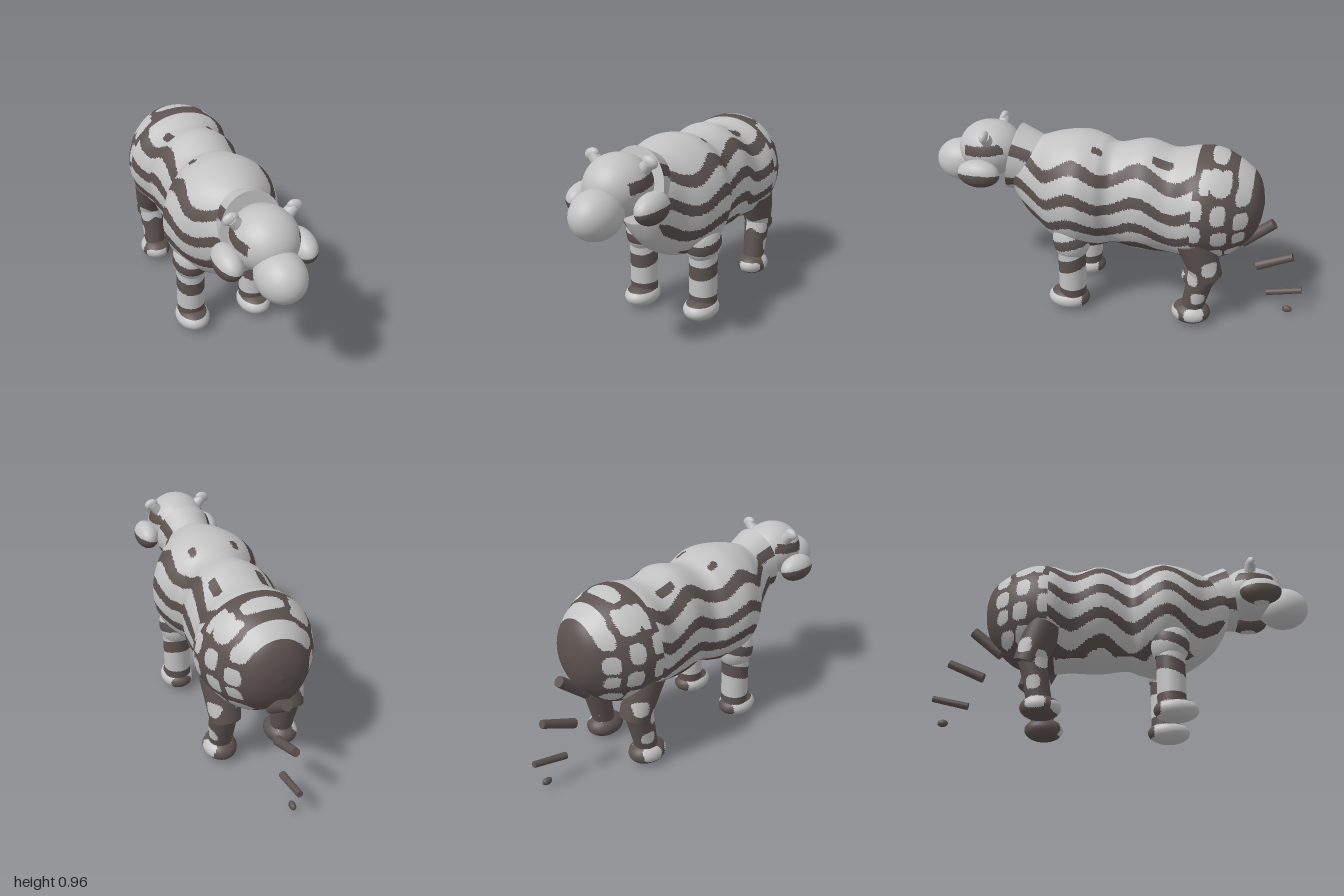
import * as THREE from 'three';

const pale = new THREE.MeshStandardMaterial({ color: 0xc2c2c2 });
pale.name = 'paleGrey';
const brown = new THREE.MeshStandardMaterial({ color: 0x5c524f });
brown.name = 'darkBrown';

// Splits the faces of a geometry into pale and dark groups by their centres
function painted(name, geo, isDark) {
  const p = geo.attributes.position, idx = geo.index.array, sets = [[], []];
  for (let i = 0; i < idx.length; i += 3) {
    const f = [idx[i], idx[i + 1], idx[i + 2]];
    const mean = (get) => f.reduce((s, v) => s + p[get](v), 0) / 3;
    sets[isDark(Math.abs(mean('getX')), mean('getY'), mean('getZ')) ? 1 : 0].push(...f);
  }
  geo.setIndex([...sets[0], ...sets[1]]);
  geo.clearGroups();
  geo.addGroup(0, sets[0].length, 0);
  geo.addGroup(sets[0].length, sets[1].length, 1);
  const mesh = new THREE.Mesh(geo, [pale, brown]);
  mesh.name = name;
  return mesh;
}

// Ellipsoid with baked position
function blob(c, r, n = 40, tilt = 0) {
  return new THREE.SphereGeometry(1, n, Math.round(n * 0.75))
    .scale(...r).rotateZ(tilt).translate(...c);
}

// Tapered rod between two points
function rod(a, b, ra, rb, n = 40, rows = 30) {
  const va = new THREE.Vector3(...a), vb = new THREE.Vector3(...b), d = vb.clone().sub(va);
  const g = new THREE.CylinderGeometry(rb, ra, d.length(), n, rows);
  g.applyQuaternion(new THREE.Quaternion().setFromUnitVectors(new THREE.Vector3(0, 1, 0), d.normalize()));
  return g.translate(...va.add(vb).multiplyScalar(0.5).toArray());
}

// Body sections: z, half width, top, bottom
const SECTIONS = [
  [-0.755, 0, 0.65, 0.65], [-0.74, 0.09, 0.74, 0.55], [-0.7, 0.155, 0.815, 0.465],
  [-0.6, 0.235, 0.885, 0.37], [-0.5, 0.28, 0.92, 0.343], [-0.4, 0.29, 0.915, 0.337],
  [-0.29, 0.245, 0.9, 0.34], [-0.15, 0.25, 0.935, 0.336], [0, 0.215, 0.905, 0.352],
  [0.08, 0.265, 0.93, 0.335], [0.18, 0.3, 0.95, 0.32], [0.3, 0.262, 0.938, 0.345],
  [0.4, 0.19, 0.91, 0.405], [0.48, 0.155, 0.88, 0.485], [0.54, 0.12, 0.84, 0.6], [0.56, 0, 0.72, 0.72],
];

function bodyGeometry() {
  const curve = (fn) => new THREE.CatmullRomCurve3(SECTIONS.map(fn), false, 'catmullrom', 0.5);
  const mids = curve(([z, w, t, b]) => new THREE.Vector3(w, (t + b) / 2, z));
  const heights = curve(([z, , t, b]) => new THREE.Vector3((t - b) / 2, 0, z));
  const rows = 180, sides = 160, pos = [], idx = [];
  for (let i = 0; i <= rows; i++) {
    const m = mids.getPoint(i / rows), h = Math.max(0, heights.getPoint(i / rows).x);
    for (let j = 0; j < sides; j++) {
      const a = (j / sides) * Math.PI * 2;
      pos.push(Math.max(0, m.x) * Math.cos(a), m.y + h * Math.sin(a), m.z);
      if (i === rows) continue;
      const k = i * sides + j, l = i * sides + ((j + 1) % sides);
      idx.push(k, l, l + sides, k, l + sides, k + sides);
    }
  }
  const g = new THREE.BufferGeometry();
  g.setAttribute('position', new THREE.Float32BufferAttribute(pos, 3));
  g.setIndex(idx);
  g.computeVertexNormals();
  return g;
}

// Rounded square patch test
const inPatch = (u, v, [cu, cv, ru, rv]) => Math.abs((u - cu) / ru) ** 3 + Math.abs((v - cv) / rv) ** 3 < 1;

// Pale patches on the flank of the rump (z, y, sizes) and on its top (x, z, sizes)
const FLANK = [
  [-0.435, 0.71, 0.035, 0.05], [-0.435, 0.585, 0.035, 0.05], [-0.445, 0.465, 0.035, 0.045],
  [-0.555, 0.82, 0.04, 0.05], [-0.545, 0.685, 0.035, 0.05], [-0.555, 0.555, 0.038, 0.045],
  [-0.54, 0.445, 0.035, 0.04], [-0.655, 0.765, 0.035, 0.05], [-0.65, 0.64, 0.035, 0.045],
  [-0.645, 0.545, 0.03, 0.035], [-0.62, 0.44, 0.035, 0.035], [-0.47, 0.83, 0.025, 0.05],
];
const TOP = [[0, -0.525, 0.105, 0.04], [0.185, -0.53, 0.05, 0.045], [0, -0.655, 0.17, 0.04], [0.2, -0.39, 0.06, 0.03]];

// Wavy stripes along the flank
function stripe(y, z) {
  const wave = 0.034 * Math.cos(((z - 0.19) / 0.33) * Math.PI * 2);
  return [0.81, 0.667, 0.53, 0.395].some((c) => Math.abs(y - c - wave) < 0.029);
}

function bodyDark(x, y, z) {
  if (z < -0.42 + (y < 0.42 ? 0.04 : 0)) {
    if (y > 0.78 && TOP.some((p) => inPatch(x, z, p))) return false;
    return !(x > 0.08 && FLANK.some((p) => inPatch(z, y, p)));
  }
  // small spots beside the spine
  if (y > 0.83 && (inPatch(x, z, [0.115, 0.085, 0.018, 0.028]) || inPatch(x, z, [0.122, -0.25, 0.022, 0.055]))) return true;
  return x > 0.1 && stripe(y, z);
}

const frontLegDark = (x, y, z) => {
  const s = y + (z - 0.21) * 0.3;
  return Math.abs(s - 0.285) < 0.036 || Math.abs(y - 0.115) < 0.022 || Math.abs(s - 0.42) < 0.028
    || (z < 0.15 && y < 0.1 && y > 0.03);
};
const HIND = [[-0.455, 0.075, 0.05, 0.035], [-0.47, 0.18, 0.035, 0.035], [-0.435, 0.3, 0.03, 0.045],
  [-0.52, 0.37, 0.035, 0.04], [-0.35, 0.06, 0.03, 0.03]];
const hindLegDark = (x, y, z) => x < 0.13 || !HIND.some((p) => inPatch(z, y, p));
const headDark = (x, y, z) => x > 0.115 && z < 0.79 && Math.abs(y - 0.86 + (z - 0.6) * 0.1) < 0.026;
const neckDark = (x, y, z) => x > 0.09 && (Math.abs(y - 0.855 - (z - 0.5) * 0.4) < 0.028 || Math.abs(y - 0.69) < 0.028);
const never = () => false, always = () => true;

export function createModel() {
  const root = new THREE.Group();
  root.name = 'stripedAnimal';
  const add = (name, geo, rule) => root.add(painted(name, geo, rule));

  add('body', bodyGeometry(), bodyDark);

  // Neck collar, head and muzzle
  add('neck', rod([0, 0.75, 0.4], [0, 0.782, 0.557], 0.145, 0.183, 72, 40).scale(0.85, 1, 1), neckDark);
  add('head', blob([0, 0.82, 0.69], [0.155, 0.146, 0.17], 80), headDark);
  add('muzzle', blob([0, 0.733, 0.862], [0.114, 0.114, 0.138], 48), never);

  for (const s of [1, -1]) {
    const side = s > 0 ? 'left' : 'right';
    // Cheeks and ears
    add(side + 'Cheek', blob([s * 0.18, 0.742, 0.7], [0.065, 0.073, 0.112], 64),
      (x, y, z) => y > 0.675 && y < 0.74 + (x - 0.18) * 0.25);
    add(side + 'EarStem', rod([s * 0.105, 0.885, 0.665], [s * 0.15, 0.935, 0.665], 0.032, 0.028, 24, 4), never);
    add(side + 'Ear', blob([s * 0.152, 0.937, 0.665], [0.038, 0.029, 0.022], 28, -s * 0.3), never);

    // Front legs
    add(side + 'Shoulder', blob([s * 0.175, 0.42, 0.21], [0.092, 0.12, 0.1], 56), frontLegDark);
    add(side + 'FrontLeg', rod([s * 0.177, 0.06, 0.212], [s * 0.177, 0.42, 0.21], 0.072, 0.074, 48, 60), frontLegDark);
    add(side + 'FrontFoot', blob([s * 0.177, 0.061, 0.232], [0.088, 0.058, 0.112], 56), frontLegDark);

    // Hind legs
    add(side + 'Thigh', rod([s * 0.17, 0.285, -0.51], [s * 0.17, 0.5, -0.43], 0.076, 0.1, 48, 40), hindLegDark);
    add(side + 'HindLeg', rod([s * 0.17, 0.06, -0.43], [s * 0.17, 0.35, -0.49], 0.055, 0.075, 48, 50), hindLegDark);
    add(side + 'HindFoot', blob([s * 0.17, 0.064, -0.432], [0.085, 0.06, 0.102], 56), hindLegDark);
  }

  // Tail in separate pieces
  add('tailBase', rod([0, 0.42, -0.66], [0, 0.545, -0.812], 0.03, 0.028, 20, 1), always);
  add('tailMiddle', rod([0, 0.285, -0.745], [0, 0.362, -0.925], 0.025, 0.021, 20, 1), always);
  add('tailEnd', rod([0, 0.128, -0.81], [0, 0.166, -0.99], 0.018, 0.016, 20, 1), always);
  add('tailTip', blob([0, 0.036, -0.928], [0.016, 0.019, 0.026], 20), always);
  return root;
}
